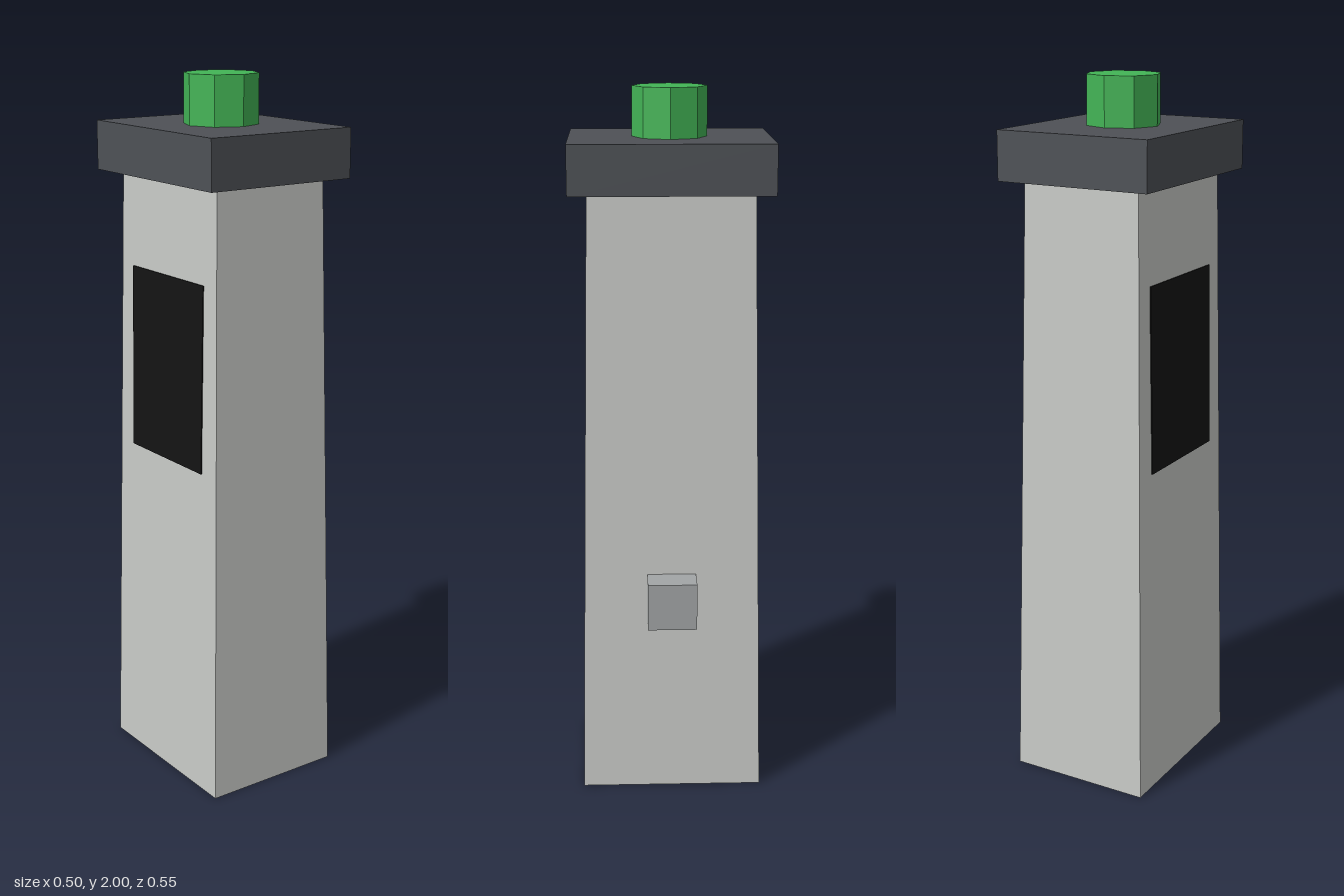
import * as THREE from 'three';

const flat = (name, color) => {
  const m = new THREE.MeshStandardMaterial({ color });
  m.name = name;
  return m;
};

export function createModel() {
  const stone = flat('pale stone', 0xc9cbc8);
  const slate = flat('dark slate', 0x4e5156);
  const green = flat('lamp green', 0x43b556);
  const steel = flat('grey steel', 0xa2a5a6);
  const black = flat('panel black', 0x141414);

  const model = new THREE.Group();
  model.name = 'pillar';
  const axisX = -0.027; // centre line of the pillar

  function add(name, geometry, material, x, y, z = 0) {
    const mesh = new THREE.Mesh(geometry, material);
    mesh.name = name;
    mesh.position.set(x, y, z);
    model.add(mesh);
    return mesh;
  }

  // Tapered column
  const height = 1.73, baseW = 0.412, topW = 0.346, baseD = 0.516, topD = 0.452;
  const column = new THREE.BoxGeometry(baseW, height, baseD);
  const p = column.attributes.position;
  for (let i = 0; i < p.count; i++) {
    if (p.getY(i) > 0) {
      p.setX(i, p.getX(i) * topW / baseW);
      p.setZ(i, p.getZ(i) * topD / baseD);
    }
  }
  column.computeVertexNormals();
  add('column', column, stone, axisX, height / 2);

  // Cap slab and eight-sided lamp
  add('capSlab', new THREE.BoxGeometry(0.45, 0.135, 0.552), slate, axisX, 1.7975);
  const lamp = new THREE.CylinderGeometry(0.103, 0.103, 0.135, 8).toNonIndexed();
  lamp.computeVertexNormals();
  add('lamp', lamp, green, axisX, 1.9325);

  // Block on the +x side
  add('sideBlock', new THREE.BoxGeometry(0.135, 0.135, 0.138), steel, 0.1825, 0.5925);

  // Thin dark panel lying on the sloped -x face
  const slope = (baseW - topW) / 2 / height;
  const panelY = 1.21;
  const panel = add('darkPanel', new THREE.BoxGeometry(0.006, 0.52, 0.344), black,
    axisX - baseW / 2 + slope * panelY, panelY);
  panel.rotation.z = -Math.atan(slope);

  return model;
}
